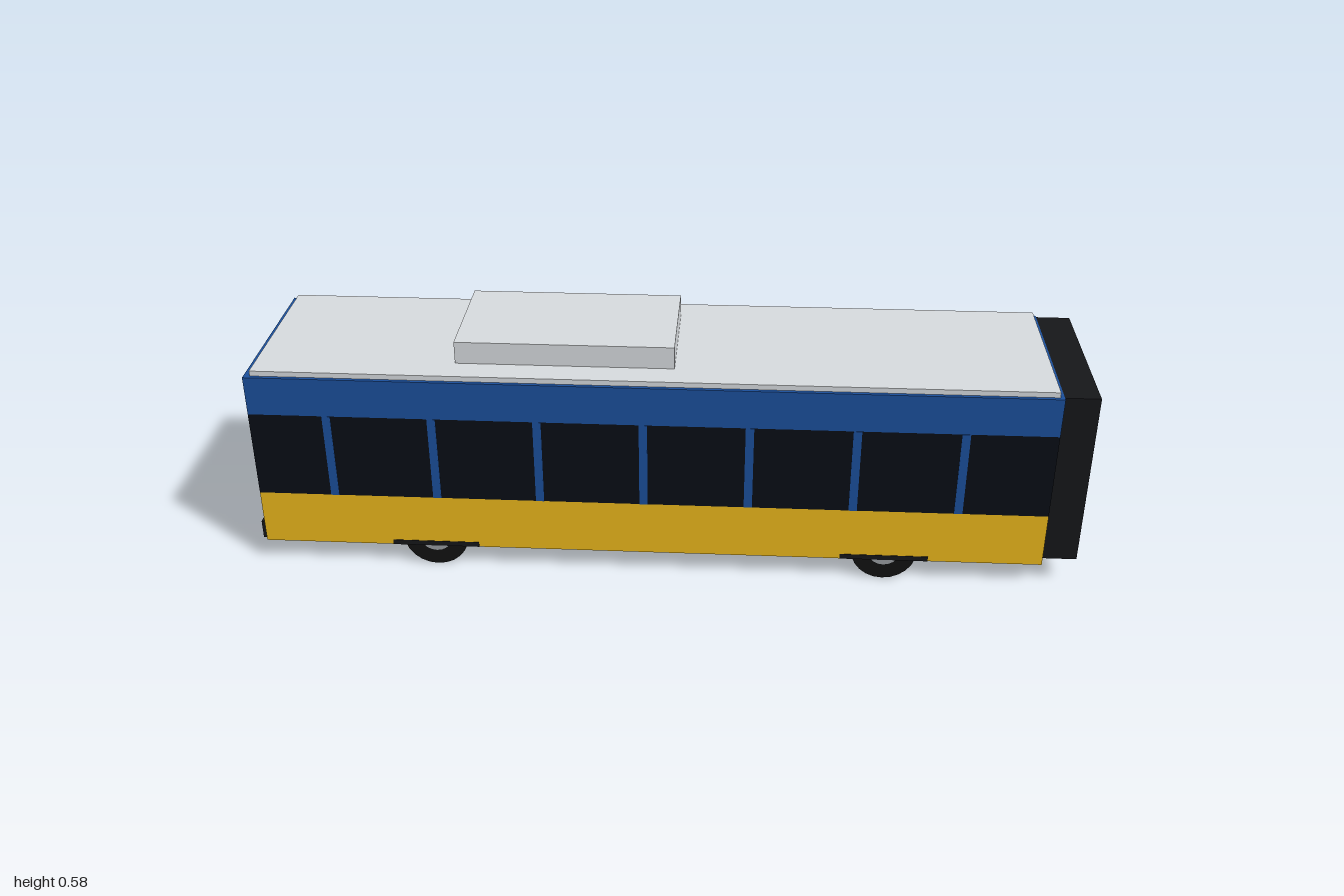
import * as THREE from 'three';

const mat = (color) => new THREE.MeshStandardMaterial({ color });

export function createModel() {
  const bus = new THREE.Group();
  bus.name = 'bus';
  const yellow = mat(0xecb81c), blue = mat(0x1b4f9c), glass = mat(0x090e16), black = mat(0x16171a);
  const roofGrey = mat(0xd8dcdf), rubber = mat(0x111111), steel = mat(0x9a9ea2);
  const lamp = mat(0xf4f4ec), amber = mat(0x3a2608);

  // Box given by its extents along each axis
  function box(name, material, [x0, x1], [y0, y1], [z0, z1]) {
    const mesh = new THREE.Mesh(new THREE.BoxGeometry(x1 - x0, y1 - y0, z1 - z0), material);
    mesh.position.set((x0 + x1) / 2, (y0 + y1) / 2, (z0 + z1) / 2);
    mesh.name = name;
    bus.add(mesh);
  }
  // Z extents of a layer on one side of the bus
  const layer = (side, inner, outer) => (side > 0 ? [inner, outer] : [-outer, -inner]);

  // Lower body: thin skirts around a raised floor, open underneath
  const length = [-0.99, 0.917], width = [-0.2245, 0.2245], skirt = [0.055, 0.194];
  box('floor', yellow, length, [0.186, 0.194], width);
  box('frontSkirt', yellow, [-0.99, -0.985], skirt, width);
  box('rearSkirt', yellow, [0.912, 0.917], skirt, width);
  for (const s of [-1, 1]) box('sideSkirt', yellow, length, skirt, layer(s, 0.2195, 0.2245));

  // Window band and upper body
  box('windowBand', glass, length, [0.194, 0.412], width);
  box('upperBody', blue, length, [0.412, 0.51], width);

  // Roof panel and air conditioning unit
  box('roof', roofGrey, [-0.975, 0.907], [0.51, 0.523], [-0.215, 0.215]);
  box('roofUnit', roofGrey, [-0.5, 0.02], [0.523, 0.578], [-0.147, 0.147]);

  // Articulation joint at the +x end
  box('bellows', black, [0.917, 1], [0.069, 0.51], [-0.216, 0.216]);

  // Doors with edge posts on the -z side
  const doors = [-0.753, 0.361];
  for (const x of doors) {
    box('door', glass, [x - 0.111, x + 0.111], [0.058, 0.412], [-0.2256, -0.218]);
    for (const e of [-0.107, 0.107]) {
      box('doorPost', black, [x + e - 0.004, x + e + 0.004], [0.058, 0.412], [-0.2275, -0.218]);
    }
  }

  // Window pillars on both sides, left out where a door stands
  for (let i = 0; i < 7; i++) {
    const x = -0.803 + i * 0.251;
    for (const s of [-1, 1]) {
      if (s < 0 && doors.some((d) => Math.abs(d - x) < 0.111)) continue;
      box('windowPillar', blue, [x - 0.01, x + 0.01], [0.194, 0.412], layer(s, 0.22, 0.2255));
    }
  }

  // Driving end: windscreen, display, bumper and headlights
  box('windscreen', glass, [-0.992, -0.985], [0.194, 0.49], [-0.208, 0.208]);
  box('displayPanel', amber, [-0.993, -0.985], [0.425, 0.46], [-0.17, 0.17]);
  box('bumper', black, [-1, -0.985], [0.058, 0.105], [-0.218, 0.218]);
  for (const z of [-0.178, 0.178]) {
    box('headlight', lamp, [-0.995, -0.983], [0.108, 0.145], [z - 0.024, z + 0.024]);
  }

  // Wheels with hubs, and arch trims
  const tyreGeo = new THREE.CylinderGeometry(0.08, 0.08, 0.052, 24).rotateX(Math.PI / 2);
  const hubGeo = new THREE.CylinderGeometry(0.04, 0.04, 0.02, 20).rotateX(Math.PI / 2);
  for (const x of [-0.565, 0.535]) {
    for (const s of [-1, 1]) {
      const wheel = new THREE.Group();
      wheel.name = 'wheel';
      const tyre = new THREE.Mesh(tyreGeo, rubber);
      tyre.name = 'tyre';
      const hub = new THREE.Mesh(hubGeo, steel);
      hub.name = 'hub';
      hub.position.z = s * 0.018;
      wheel.add(tyre, hub);
      wheel.position.set(x, 0.08, s * 0.195);
      bus.add(wheel);
      box('archTrim', black, [x - 0.107, x + 0.107], [0.055, 0.068], layer(s, 0.2195, 0.2255));
    }
  }

  // Centre the depth, since the doors stand proud on one side
  bus.position.z = 0.001;
  const model = new THREE.Group();
  model.name = 'articulatedBusSection';
  model.add(bus);
  return model;
}
